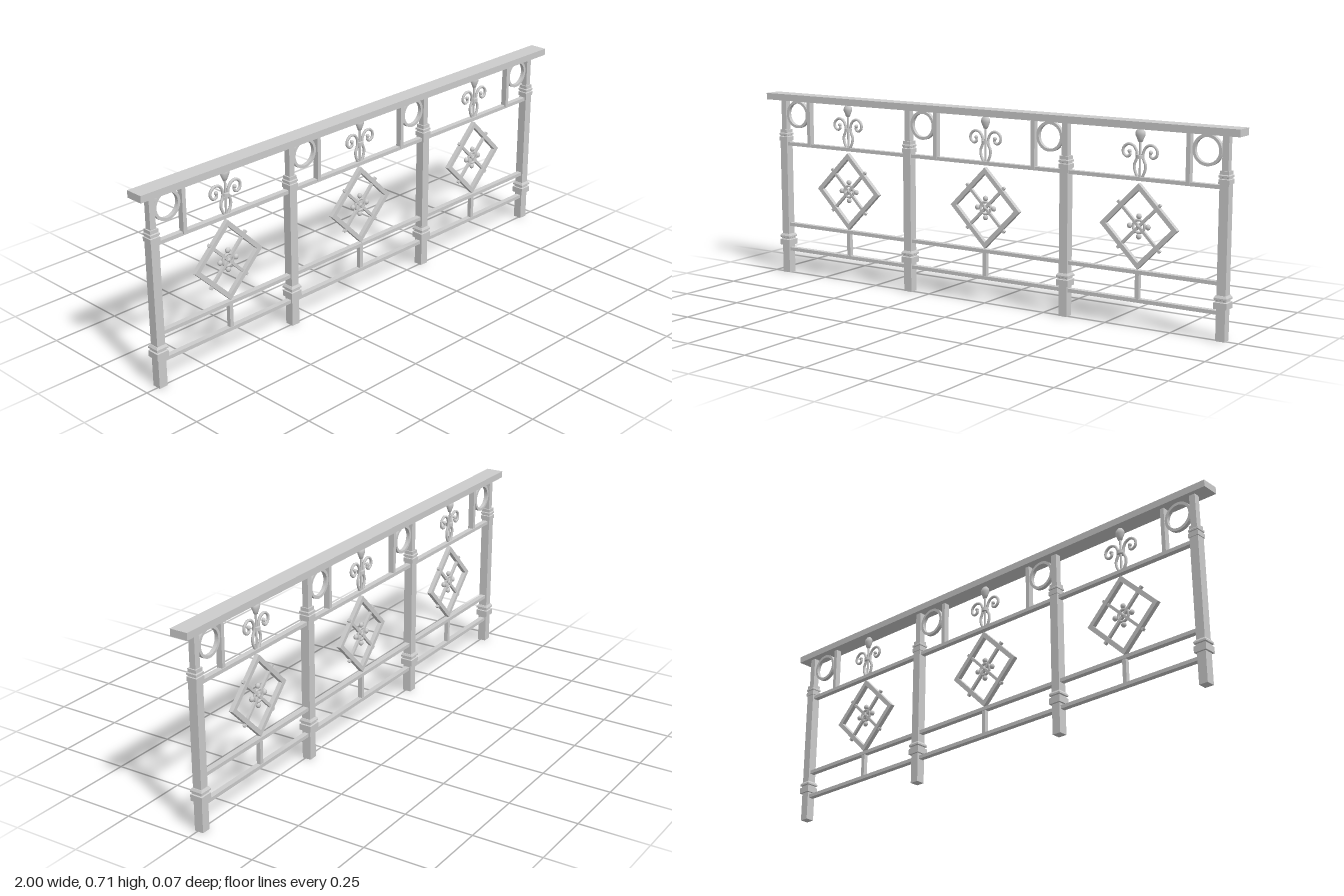
import * as THREE from 'three';

const Z = -0.006; // centre plane of the ironwork
const flat = new THREE.MeshStandardMaterial({ color: 0xcccccc, flatShading: true });
const smooth = new THREE.MeshStandardMaterial({ color: 0xcccccc });

function add(parent, name, geometry, x = 0, y = 0, z = 0, material = flat) {
  const mesh = new THREE.Mesh(geometry, material);
  mesh.name = name;
  mesh.position.set(x, y, z);
  parent.add(mesh);
  return mesh;
}

function bar(parent, name, w, h, d, x, y, z = 0) {
  return add(parent, name, new THREE.BoxGeometry(w, h, d), x, y, z);
}

function subgroup(parent, name, x, y, z) {
  const g = new THREE.Group();
  g.name = name;
  g.position.set(x, y, z);
  parent.add(g);
  return g;
}

// Flat ring or frame cut from a shape with a hole, centred in depth
function plate(outer, hole, depth, curveSegments = 24) {
  outer.holes.push(hole);
  return new THREE.ExtrudeGeometry(outer, { depth, bevelEnabled: false, curveSegments })
    .translate(0, 0, -depth / 2);
}

function ring(outer, inner, depth) {
  return plate(new THREE.Shape().absarc(0, 0, outer, 0, Math.PI * 2),
    new THREE.Path().absarc(0, 0, inner, 0, Math.PI * 2, true), depth);
}

function diamondPoints(r) {
  return [[r, 0], [0, r], [-r, 0], [0, -r]].map(([x, y]) => new THREE.Vector2(x, y));
}

// Square post with stepped collars: half width, height
function postGeometry() {
  const profile = [
    [0, 0], [0.0165, 0], [0.0165, 0.11], [0.0235, 0.11], [0.0235, 0.132],
    [0.019, 0.134], [0.019, 0.139], [0.0235, 0.141], [0.0235, 0.147], [0.0185, 0.155],
    [0.0165, 0.155], [0.0165, 0.525], [0.0195, 0.525], [0.0195, 0.54],
    [0.0165, 0.542], [0.0165, 0.546], [0.0195, 0.547], [0.0195, 0.553],
    [0.0165, 0.556], [0.0165, 0.568], [0.0115, 0.568], [0.0115, 0.69],
  ].map(([r, y]) => new THREE.Vector2(r * Math.SQRT2, y));
  return new THREE.LatheGeometry(profile, 4, Math.PI / 4);
}

// Diamond frame with crossed bars and a small rosette
function addDiamond(parent, x) {
  const g = subgroup(parent, 'diamondPanel', x, 0.35, Z);
  add(g, 'diamondFrame', plate(new THREE.Shape(diamondPoints(0.148)),
    new THREE.Path(diamondPoints(0.125).reverse()), 0.016));
  for (const s of [-1, 1]) {
    bar(g, 'crossBar', 0.23, 0.01, 0.01, 0, 0).rotation.z = s * Math.PI / 4;
  }
  add(g, 'rosetteRing', new THREE.TorusGeometry(0.022, 0.005, 8, 20), 0, 0, 0, smooth);
  for (let i = 0; i < 4; i++) {
    const a = i * Math.PI / 2;
    const petal = add(g, 'rosettePetal', new THREE.SphereGeometry(0.009, 10, 8),
      Math.cos(a) * 0.035, Math.sin(a) * 0.035, 0, smooth);
    petal.scale.set(1.1, 1.1, 0.9);
  }
  add(g, 'rosetteCentre', new THREE.SphereGeometry(0.009, 10, 8), 0, 0, 0, smooth);
}

// Pair of scrolls curling out from a budded stem
function addScrolls(parent, x) {
  const g = subgroup(parent, 'scrollOrnament', x, 0, Z);
  for (const s of [-1, 1]) {
    const path = [
      [0.007, 0.515], [0.019, 0.54], [0.021, 0.56], [0.012, 0.583], [0.013, 0.605],
      [0.026, 0.624], [0.046, 0.628], [0.063, 0.614], [0.063, 0.595],
      [0.049, 0.585], [0.038, 0.592], [0.04, 0.604],
    ].map(([px, py]) => new THREE.Vector3(s * px, py, 0));
    add(g, 'scroll', new THREE.TubeGeometry(new THREE.CatmullRomCurve3(path), 48, 0.005, 8),
      0, 0, 0, smooth);
    add(g, 'scrollTip', new THREE.SphereGeometry(0.007, 10, 8), s * 0.04, 0.604, 0, smooth);
  }
  add(g, 'stem', new THREE.CylinderGeometry(0.004, 0.004, 0.14, 8), 0, 0.585, 0, smooth);
  add(g, 'scrollClasp', new THREE.CylinderGeometry(0.014, 0.014, 0.012, 10), 0, 0.588, 0, smooth);
  const bud = [[0, 0.635], [0.008, 0.638], [0.012, 0.648], [0.018, 0.661],
    [0.017, 0.672], [0.009, 0.682], [0, 0.686]].map(([r, y]) => new THREE.Vector2(r, y));
  add(g, 'bud', new THREE.LatheGeometry(bud, 14), 0, 0, 0, smooth).scale.z = 0.7;
}

export function createModel() {
  const model = new THREE.Group();
  model.name = 'railing';

  // Handrail and long rails
  bar(model, 'handrail', 2, 0.025, 0.066, 0, 0.6975);
  for (const y of [0.513, 0.193, 0.094]) bar(model, 'rail', 1.86, 0.013, 0.02, 0, y, Z);

  // Posts
  const post = postGeometry();
  for (const x of [-0.938, -0.34, 0.335, 0.938]) add(model, 'post', post, x, 0, Z);

  // Ring beside each post, closed off by a short upright
  const circle = ring(0.053, 0.043, 0.014);
  for (const [cx, bx] of [[-0.874, -0.812], [-0.275, -0.213], [0.27, 0.206], [0.87, 0.806]]) {
    add(model, 'ring', circle, cx, 0.63, Z);
    bar(model, 'upright', 0.015, 0.175, 0.022, bx, 0.6, -0.003);
  }

  // Three bays
  for (const x of [-0.628, 0, 0.622]) {
    bar(model, 'lowerStrut', 0.015, 0.1, 0.016, x, 0.143, Z);
    addDiamond(model, x);
    addScrolls(model, x);
  }
  return model;
}
